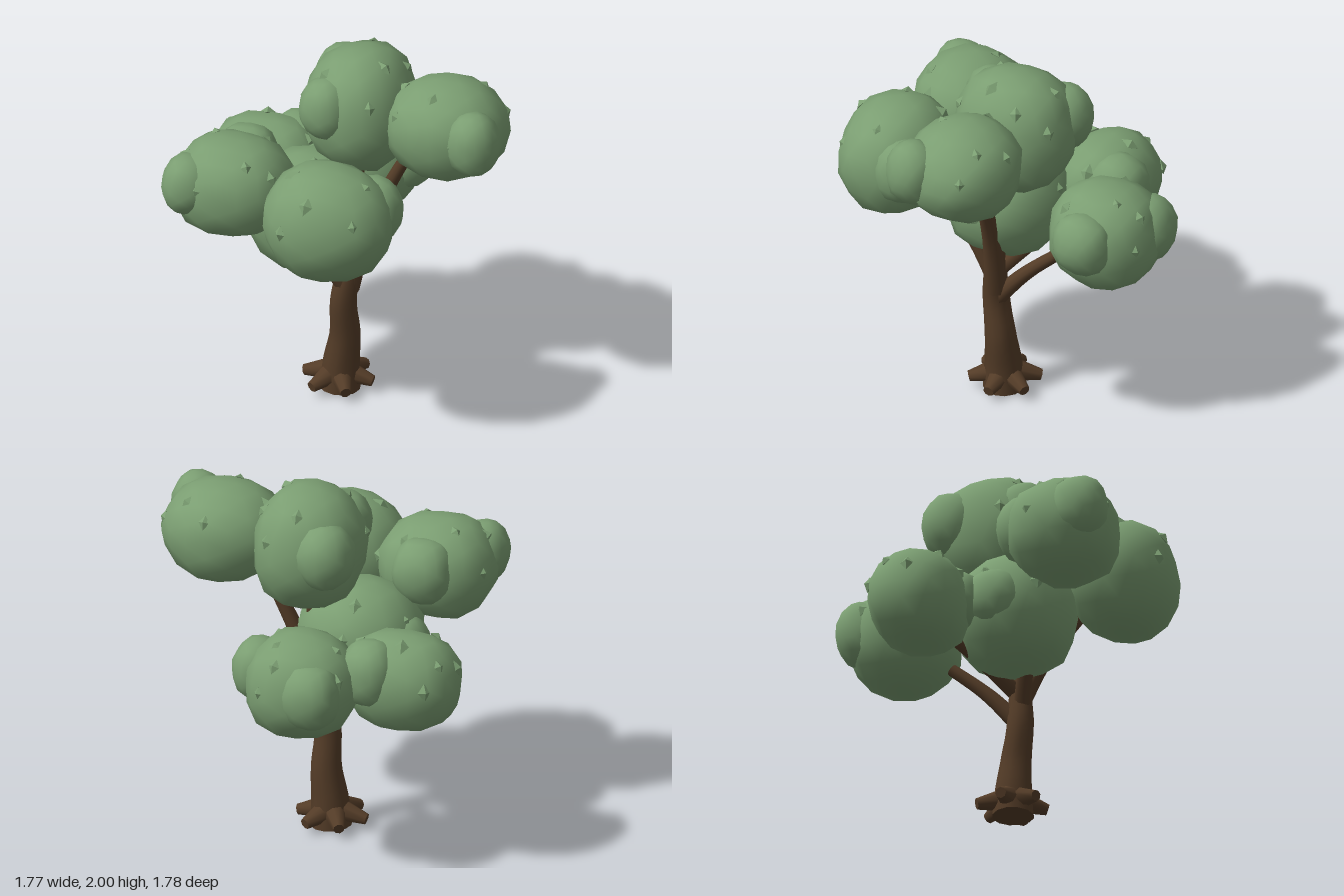
import * as THREE from 'three';
import { mergeVertices } from 'three/addons/utils/BufferGeometryUtils.js';

const V = (a) => new THREE.Vector3(...a);

function seeded(seed) {
  return () => {
    seed = (seed * 16807) % 2147483647;
    return seed / 2147483647;
  };
}

// Moves a unit direction onto a slightly boxy, lumpy ellipsoid
function toLump(v, radii, phase) {
  const p = 2.3;
  const box = Math.pow(Math.abs(v.x) ** p + Math.abs(v.y) ** p + Math.abs(v.z) ** p, -1 / p);
  const bumps = 1 + 0.018 * Math.sin(5 * v.x + phase) + 0.018 * Math.sin(6 * v.y + 4 * v.z + 2 * phase);
  return v.multiplyScalar(box * bumps).multiply(V(radii));
}

// Smooth-shaded lumpy ball used for all the foliage
function lumpGeometry(radii, phase) {
  let g = new THREE.IcosahedronGeometry(1, 2);
  g.deleteAttribute('uv');
  g.deleteAttribute('normal');
  g = mergeVertices(g, 1e-4);
  const p = g.attributes.position;
  const v = new THREE.Vector3();
  for (let i = 0; i < p.count; i++) {
    toLump(v.fromBufferAttribute(p, i), radii, phase);
    p.setXYZ(i, v.x, v.y, v.z);
  }
  g.computeVertexNormals();
  return g;
}

// Tube along a curve whose radius follows the given list
function taperedTube(points, radii, sides = 10, steps = 14) {
  const curve = new THREE.CatmullRomCurve3(points.map(V));
  const g = new THREE.TubeGeometry(curve, steps, 1, sides, false);
  const p = g.attributes.position;
  const v = new THREE.Vector3();
  for (let i = 0; i < p.count; i++) {
    const t = Math.floor(i / (sides + 1)) / steps;
    const c = curve.getPointAt(t);
    const s = t * (radii.length - 1);
    const k = Math.min(Math.floor(s), radii.length - 2);
    v.fromBufferAttribute(p, i).sub(c);
    v.multiplyScalar(THREE.MathUtils.lerp(radii[k], radii[k + 1], s - k)).add(c);
    p.setXYZ(i, v.x, v.y, v.z);
  }
  return g;
}

export function createModel() {
  const bark = new THREE.MeshStandardMaterial({ color: 0x553d28 });
  const leaf = new THREE.MeshStandardMaterial({ color: 0x7b9e72 });
  bark.name = 'bark';
  leaf.name = 'leaf';

  const tree = new THREE.Group();
  tree.name = 'tree';
  const add = (parent, name, geometry, material) => {
    const m = new THREE.Mesh(geometry, material);
    m.name = name;
    parent.add(m);
    return m;
  };

  // Trunk, flared at the foot and closing to a stub between the branches
  add(tree, 'trunk', taperedTube(
    [[-0.045, 0.01, 0.03], [-0.037, 0.15, 0.03], [-0.015, 0.33, 0.035], [-0.015, 0.55, 0.06], [0.015, 0.74, 0.05], [0.03, 0.9, 0.04]],
    [0.112, 0.1, 0.085, 0.075, 0.07, 0.06, 0.035], 12, 18), bark);
  const base = add(tree, 'trunkBase', new THREE.CircleGeometry(0.112, 12), bark);
  base.rotation.x = Math.PI / 2;
  base.position.set(-0.045, 0.012, 0.03);

  // Six stubby roots around the foot
  const roots = new THREE.Group();
  roots.name = 'roots';
  tree.add(roots);
  for (let i = 0; i < 6; i++) {
    const a = (i * Math.PI) / 3;
    const dir = new THREE.Vector3(Math.cos(a), -0.25, Math.sin(a)).normalize();
    const root = add(roots, 'root', new THREE.CylinderGeometry(0.03, 0.066, 0.17, 8), bark);
    root.quaternion.setFromUnitVectors(new THREE.Vector3(0, 1, 0), dir);
    root.position.set(-0.052 + Math.cos(a) * 0.108, 0.085, 0.027 + Math.sin(a) * 0.108);
  }

  // Branches reaching into each foliage cluster
  const branches = new THREE.Group();
  branches.name = 'branches';
  tree.add(branches);
  [
    [[[0.01, 0.62, 0.05], [0.1, 0.98, 0.03], [0.27, 1.36, 0.005], [0.42, 1.64, -0.02]], [0.058, 0.048, 0.036, 0.03]],
    [[[0.02, 0.75, 0.045], [0.04, 1.05, 0], [0.03, 1.55, -0.08]], [0.045, 0.034, 0.028]],
    [[[0, 0.56, 0.05], [-0.02, 0.75, -0.12], [-0.06, 1.0, -0.42]], [0.05, 0.036, 0.03]],
    [[[0.01, 0.68, 0.05], [0.03, 0.92, 0.18], [0.07, 1.25, 0.44]], [0.05, 0.036, 0.03]],
    [[[0.01, 0.62, 0.06], [-0.12, 0.84, 0.13], [-0.4, 1.3, 0.4]], [0.05, 0.036, 0.028]],
    [[[0.01, 0.74, 0.04], [-0.17, 0.84, -0.07], [-0.5, 1.0, -0.28]], [0.045, 0.035, 0.028]],
  ].forEach(([pts, r]) => add(branches, 'branch', taperedTube(pts, r), bark));

  // Foliage: centre, radii, then smaller lobes as [centre, radii]
  const clusters = [
    ['topFoliage', [0.035, 1.66, -0.085], [0.29, 0.34, 0.325],
      [[[-0.085, 1.73, 0.11], [0.145, 0.175, 0.15]], [[-0.12, 1.7, -0.28], [0.16, 0.18, 0.16]]]],
    ['leftFoliage', [0.53, 1.655, -0.035], [0.33, 0.265, 0.295],
      [[[0.74, 1.69, 0.155], [0.145, 0.175, 0.14]]]],
    ['frontFoliage', [0.08, 1.34, 0.6], [0.345, 0.315, 0.29],
      [[[0.295, 1.38, 0.46], [0.15, 0.18, 0.145]]]],
    ['rightFrontFoliage', [-0.49, 1.39, 0.465], [0.315, 0.27, 0.29],
      [[[-0.685, 1.435, 0.615], [0.14, 0.165, 0.15]], [[-0.48, 1.44, 0.255], [0.165, 0.18, 0.16]]]],
    ['rightBackFoliage', [-0.57, 1.07, -0.31], [0.305, 0.27, 0.265],
      [[[-0.43, 1.15, -0.45], [0.155, 0.18, 0.16]], [[-0.47, 1.1, -0.12], [0.14, 0.15, 0.125]]]],
    ['backFoliage', [-0.09, 1.08, -0.555], [0.3, 0.285, 0.295],
      [[[-0.205, 1.1, -0.74], [0.155, 0.18, 0.15]], [[0.15, 1.13, -0.54], [0.145, 0.165, 0.16]]]],
    ['middleFoliage', [-0.19, 1.09, 0.09], [0.335, 0.32, 0.32],
      [[[-0.42, 1.1, 0.06], [0.15, 0.16, 0.16]], [[-0.01, 1.14, 0.12], [0.16, 0.18, 0.19]]]],
  ];
  const random = seeded(4217);
  clusters.forEach(([name, centre, radii, lobes], i) => {
    const group = new THREE.Group();
    group.name = name;
    tree.add(group);
    add(group, 'crown', lumpGeometry(radii, i * 1.3), leaf).position.set(...centre);
    lobes.forEach(([c, r], j) => add(group, 'lobe', lumpGeometry(r, i + j * 2), leaf).position.set(...c));

    // Small diamond leaf tufts lying on the upper half
    for (let k = 0; k < 9; k++) {
      const h = 0.1 + 0.8 * ((k + random()) / 9);
      const a = k * 2.4 + i + random() * 0.6;
      const s = Math.sqrt(1 - h * h);
      const dir = new THREE.Vector3(s * Math.cos(a), h, s * Math.sin(a));
      const tuft = add(group, 'leafTuft', new THREE.OctahedronGeometry(0.03 + 0.018 * random(), 0), leaf);
      tuft.scale.set(0.85, 1.1, 0.6);
      tuft.position.copy(toLump(dir.clone(), radii, i * 1.3)).multiplyScalar(0.975).add(V(centre));
      tuft.lookAt(tuft.position.clone().add(dir));
    }
  });

  return tree;
}
